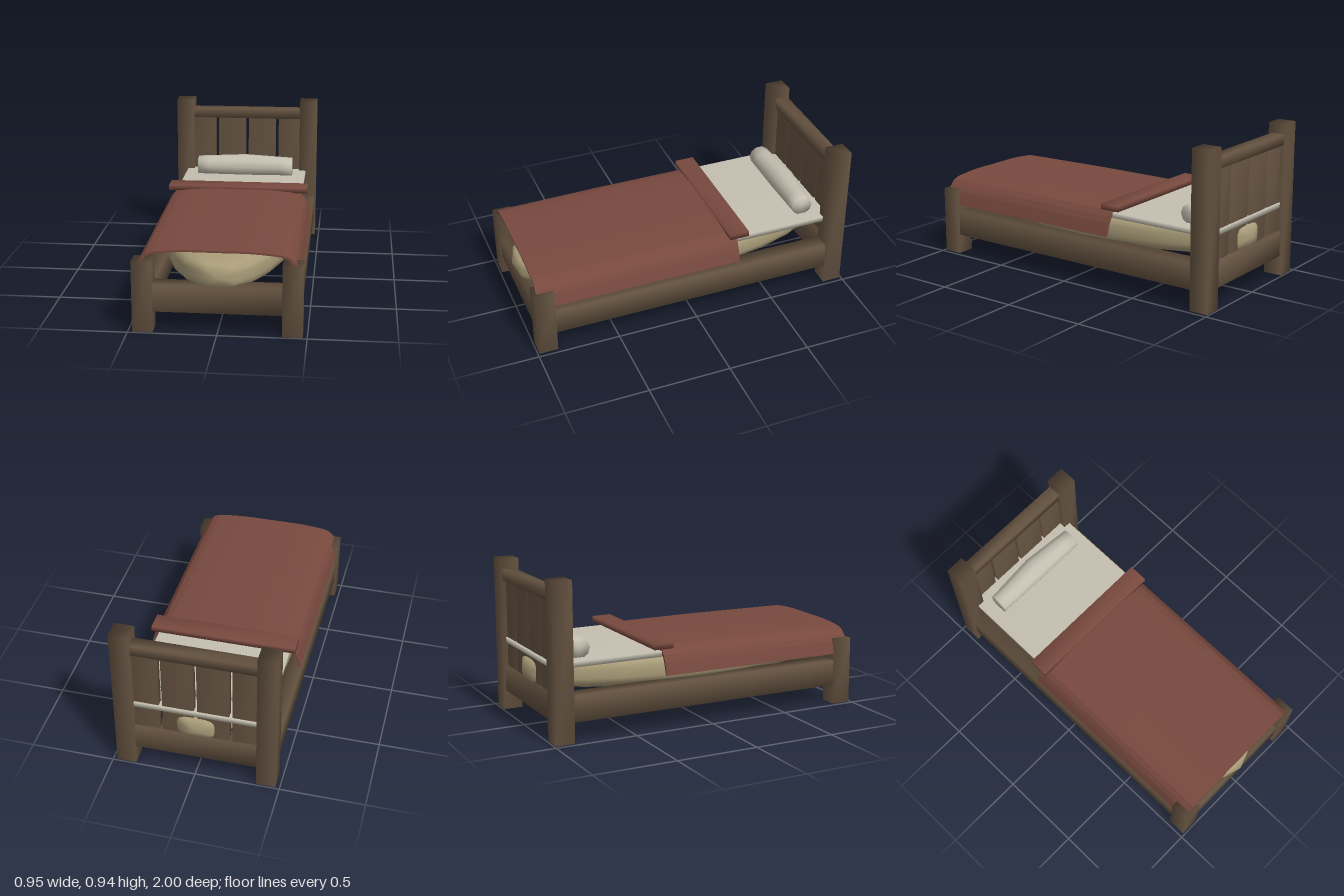
import * as THREE from 'three';
import { mergeVertices } from 'three/addons/utils/BufferGeometryUtils.js';

const mat = (name, color) => {
  const m = new THREE.MeshStandardMaterial({ color });
  m.name = name;
  return m;
};

// Weld corners so shading flows across the edges
function smooth(geometry) {
  geometry.deleteAttribute('uv');
  geometry.deleteAttribute('normal');
  const g = mergeVertices(geometry, 1e-4);
  g.computeVertexNormals();
  return g;
}

export function createModel() {
  const wood = mat('wood', 0x645240);
  const red = mat('blanketRed', 0x78493e);
  const tan = mat('mattressTan', 0xa99c78);
  const linen = mat('linen', 0xc4bfb0);
  const bed = new THREE.Group();
  bed.name = 'bed';

  function add(name, geometry, material) {
    const mesh = new THREE.Mesh(geometry, material);
    mesh.name = name;
    bed.add(mesh);
    return mesh;
  }
  // Softly shaded box given by its limits on each axis
  function block(name, [x0, x1], [y0, y1], [z0, z1], material) {
    const g = smooth(new THREE.BoxGeometry(x1 - x0, y1 - y0, z1 - z0));
    add(name, g, material).position.set((x0 + x1) / 2, (y0 + y1) / 2, (z0 + z1) / 2);
  }

  // Posts and side rails
  for (const [side, s] of [['left', 1], ['right', -1]]) {
    const span = (a, b) => (s > 0 ? [a, b] : [-b, -a]);
    block(side + 'FrontPost', span(0.36, 0.475), [0, 0.413], [0.875, 0.99], wood);
    block(side + 'BackPost', span(0.36, 0.475), [0, 0.935], [-0.99, -0.875], wood);
    block(side + 'SideRail', span(0.357, 0.464), [0.12, 0.276], [-0.877, 0.877], wood);
  }

  // Cross rails
  block('footRail', [-0.362, 0.362], [0.12, 0.276], [0.872, 0.977], wood);
  block('headLowerRail', [-0.362, 0.362], [0.12, 0.276], [-0.977, -0.872], wood);
  block('headTopRail', [-0.365, 0.365], [0.808, 0.874], [-0.978, -0.9], wood);

  // Headboard slats
  for (const [x0, x1] of [[0.01, 0.195], [0.215, 0.37]]) {
    block('headSlat', [x0, x1], [0.27, 0.815], [-0.958, -0.915], wood);
    block('headSlat', [-x1, -x0], [0.27, 0.815], [-0.958, -0.915], wood);
  }

  // Mattress: long cushion, oval in plan, keeping its thickness towards the ends
  const mattress = new THREE.SphereGeometry(1, 24, 12).rotateX(Math.PI / 2);
  const p = mattress.attributes.position;
  for (let i = 0; i < p.count; i++) {
    const x = p.getX(i), y = p.getY(i), r = Math.hypot(x, y);
    const k = r < 1e-4 ? 0 : r / (x ** 4 + y ** 4) ** 0.25;
    const thick = r < 1e-4 ? 0 : 0.114 * r ** -0.6;
    p.setXYZ(i, x * k * 0.395, 0.335 + y * k * thick, p.getZ(i));
  }
  add('mattress', smooth(mattress), tan);

  // Sheet
  block('sheet', [-0.403, 0.403], [0.422, 0.454], [-0.967, 0.3], linen);

  // Blanket: thin arched band draped over both sides
  const half = [[0.467, 0.32], [0.44, 0.41], [0.4, 0.463], [0.25, 0.488], [0, 0.492]];
  const arch = [...half, ...half.slice(0, -1).reverse().map(([x, y]) => [-x, y])];
  const curve = new THREE.CatmullRomCurve3(arch.map(([x, y]) => new THREE.Vector3(x, y, 0)));
  const outer = curve.getSpacedPoints(28).map((v) => new THREE.Vector2(v.x, v.y));
  const inner = outer.map((v) => new THREE.Vector2(v.x * 0.975, v.y > 0.33 ? v.y - 0.011 : v.y)).reverse();
  const blanket = new THREE.ExtrudeGeometry(new THREE.Shape([...outer, ...inner]), { depth: 1.265, steps: 2, bevelEnabled: false });
  blanket.translate(0, 0, -0.29);
  const b = blanket.attributes.position;
  for (let i = 0; i < b.count; i++) {
    if (b.getZ(i) > 0.9 && b.getY(i) > 0.4) b.setY(i, b.getY(i) - 0.008);
  }
  blanket.computeVertexNormals();
  add('blanket', blanket, red);
  block('blanketFold', [-0.442, 0.442], [0.475, 0.509], [-0.355, -0.235], red);

  // Pillow: round bolster, fuller and set back in the middle
  const pillow = new THREE.CylinderGeometry(1, 1, 0.635, 10, 8).rotateZ(Math.PI / 2);
  const q = pillow.attributes.position;
  for (let i = 0; i < q.count; i++) {
    const t = 1 - Math.abs(q.getX(i)) / 0.3175;
    const r = 0.065 + 0.014 * t;
    q.setY(i, 0.507 + q.getY(i) * r * 0.95);
    q.setZ(i, -0.772 - 0.013 * t + q.getZ(i) * r);
  }
  add('pillow', smooth(pillow), linen);

  return bed;
}
